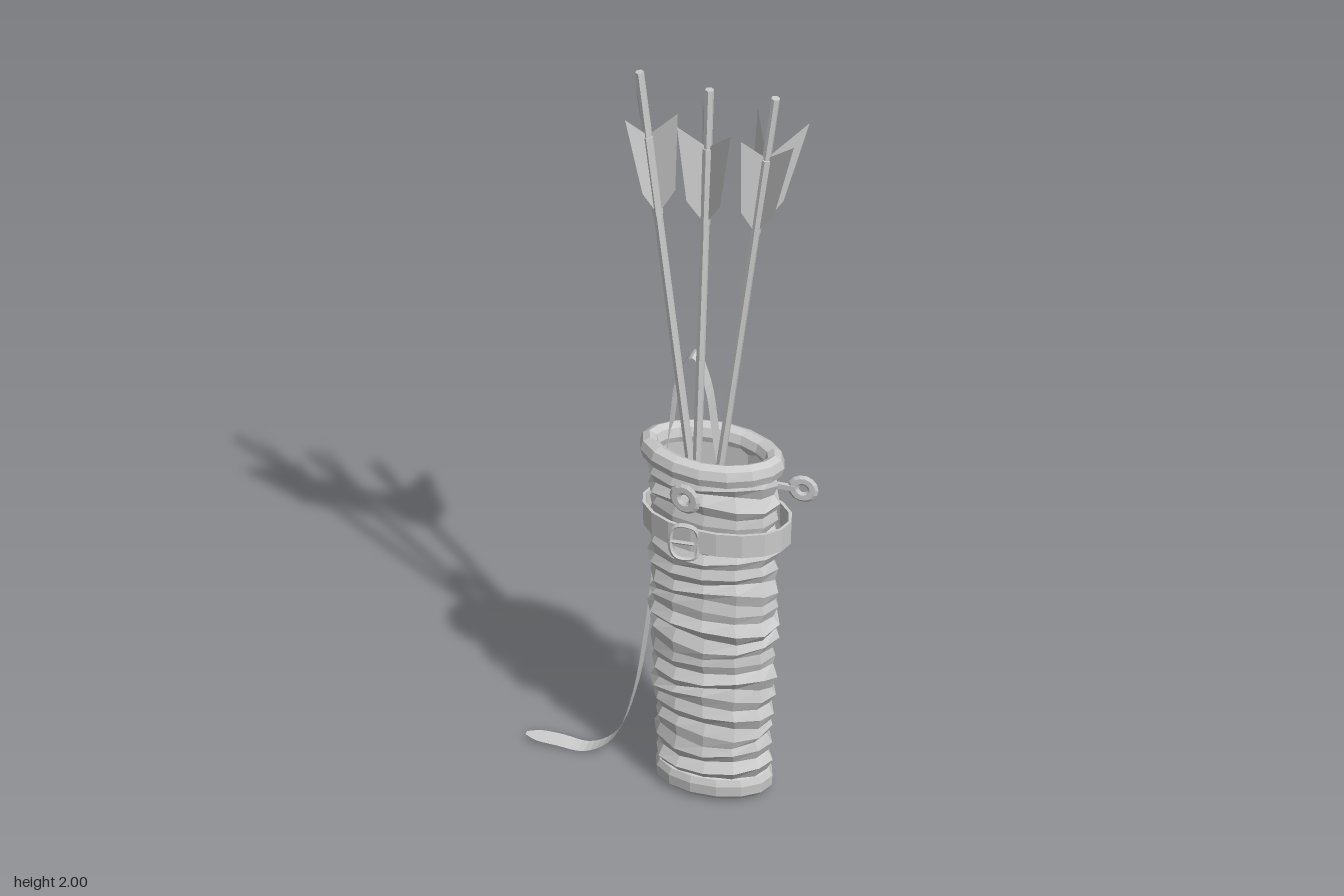
import * as THREE from 'three';

const mat = new THREE.MeshStandardMaterial({ color: 0xcccccc, flatShading: true, side: THREE.DoubleSide });
const V = (x, y, z) => new THREE.Vector3(x, y, z);

function add(parent, geo, name) {
  const m = new THREE.Mesh(geo, mat);
  m.name = name;
  parent.add(m);
  return m;
}

// Skin over elliptical rings; each row is [y, centreX, centreZ, radiusX, radiusZ]
function loft(rows, sides, warp = () => 0) {
  const pos = [], idx = [];
  rows.forEach(([y, cx, cz, a, b], i) => {
    for (let j = 0; j < sides; j++) {
      const t = (j / sides) * Math.PI * 2;
      pos.push(cx + a * Math.cos(t), y + warp(i, t), cz + b * Math.sin(t));
    }
  });
  for (let i = 0; i < rows.length - 1; i++) {
    for (let j = 0; j < sides; j++) {
      const a = i * sides + j, b = i * sides + ((j + 1) % sides);
      idx.push(a, a + sides, b, b, a + sides, b + sides);
    }
  }
  const g = new THREE.BufferGeometry();
  g.setAttribute('position', new THREE.Float32BufferAttribute(pos, 3));
  g.setIndex(idx);
  g.computeVertexNormals();
  return g;
}

// Closed band with a rounded section running around an ellipse
function band(y, cx, cz, a, b, thick, height, steps, sides, warp) {
  const rows = [];
  for (let k = 0; k <= steps; k++) {
    const t = (k / steps) * Math.PI * 2 - Math.PI;
    const r = Math.cos(t) * thick;
    rows.push([y + Math.sin(t) * height, cx, cz, a + r, b + r]);
  }
  return loft(rows, sides, warp);
}

// Ribbed leather tube with an inner wall and a floor
function makeBody() {
  const rows = [];
  const ribs = 17;
  for (let i = 0; i <= ribs * 2; i++) {
    const f = i / (ribs * 2);
    const bulge = i % 2 ? 0.005 + 0.003 * Math.sin(i * 2.3) : -0.006;
    const a = 0.137 + 0.021 * Math.min(1, f * 2.2) + bulge;
    const b = 0.082 + 0.005 * Math.min(1, f * 2) + bulge;
    rows.push([0.06 + f * 0.86, 0.115 + 0.003 * Math.sin(i * 1.3), -0.007 + 0.003 * Math.sin(i * 1.9), a, b]);
  }
  rows.push([0.93, 0.112, -0.008, 0.138, 0.07], [0.06, 0.115, -0.008, 0.118, 0.062], [0.06, 0.115, -0.008, 0, 0]);
  const warp = (i, t) => (i > 0 && i < ribs * 2 ? 0.009 * Math.sin(2 * t + i * 0.55) + 0.004 * Math.sin(3 * t + i * 1.7) : 0);
  return loft(rows, 12, warp);
}

// Flat ribbon along a path, its width lying along z
function ribbon(points, width, steps) {
  const curve = new THREE.CatmullRomCurve3(points);
  const g = new THREE.PlaneGeometry(1, 1, steps, 2);
  const p = g.attributes.position;
  for (let i = 0; i < p.count; i++) {
    const u = p.getX(i) + 0.5;
    const c = curve.getPoint(u);
    const taper = Math.sqrt(Math.min(1, (1 - u) * 25 + 0.08));
    p.setXYZ(i, c.x, c.y, c.z + p.getY(i) * width * taper * (1 + 0.1 * Math.sin(u * 22)));
  }
  g.computeVertexNormals();
  return g;
}

// Arrow: shaft, nock and vanes aimed at the given (x, z) tips
function makeArrow(top, low, tips) {
  const arrow = new THREE.Group();
  arrow.name = 'arrow';
  const at = y => low.clone().lerp(top, (y - low.y) / (top.y - low.y));
  const end = at(0.25);
  const shaft = add(arrow, new THREE.CylinderGeometry(0.011, 0.011, top.distanceTo(end), 6), 'shaft');
  shaft.position.copy(top).add(end).multiplyScalar(0.5);
  const dir = top.clone().sub(end).normalize();
  shaft.quaternion.setFromUnitVectors(V(0, 1, 0), dir);
  const wrap = add(arrow, new THREE.CylinderGeometry(0.015, 0.013, 0.22, 6), 'vaneWrap');
  wrap.position.copy(at(1.71));
  wrap.quaternion.copy(shaft.quaternion);
  for (const [x, z] of tips) {
    const c = at(1.9);
    const out = V(x - c.x, 0, z - c.z);
    // Outline as [share of vane width, height]
    const pts = [[0, 1.6], [0.62, 1.68], [1, 1.9], [0, 1.82]].map(([r, y]) => at(y).addScaledVector(out, r));
    const g = new THREE.BufferGeometry().setFromPoints(pts);
    g.setIndex([0, 1, 2, 0, 2, 3]);
    g.computeVertexNormals();
    add(arrow, g, 'vane');
  }
  return arrow;
}

export function createModel() {
  const g = new THREE.Group();
  g.name = 'quiver';

  add(g, makeBody(), 'body');

  // Rolled base with a closed underside
  add(g, loft([
    [0, 0.115, -0.01, 0, 0], [0.003, 0.115, -0.01, 0.128, 0.076], [0.018, 0.115, -0.01, 0.144, 0.09],
    [0.045, 0.115, -0.01, 0.146, 0.092], [0.062, 0.115, -0.01, 0.138, 0.086], [0.068, 0.115, -0.01, 0.12, 0.07],
  ], 14), 'base');

  // Rolled rim, slightly uneven
  add(g, band(0.943, 0.11, -0.01, 0.157, 0.086, 0.024, 0.032, 8, 16,
    (i, t) => -0.005 * Math.cos(t) + 0.003 * Math.sin(3 * t)), 'rim');

  // Belt standing off the body on the left side
  const belt = [[0.733, 0.176, 0.104], [0.733, 0.184, 0.112], [0.797, 0.186, 0.113], [0.797, 0.178, 0.105], [0.733, 0.176, 0.104]]
    .map(([y, a, b]) => [y, 0.125, -0.003, a, b]);
  add(g, loft(belt, 18, (i, t) => -0.004 * Math.cos(t)), 'belt');

  // Buckle frame and prong
  const frame = new THREE.CatmullRomCurve3([
    V(0.105, 0.8, 0.108), V(0.065, 0.808, 0.114), V(0.048, 0.79, 0.114), V(0.048, 0.73, 0.114),
    V(0.065, 0.714, 0.114), V(0.105, 0.72, 0.108), V(0.11, 0.76, 0.102),
  ], true);
  add(g, new THREE.TubeGeometry(frame, 28, 0.006, 5, true), 'buckleFrame');
  add(g, new THREE.TubeGeometry(new THREE.LineCurve3(V(0.046, 0.76, 0.116), V(0.105, 0.762, 0.115)), 1, 0.005, 5), 'buckleProng');

  // Eyelets: one on the front, one hanging off the left side on a tab
  const eyelet = () => new THREE.TorusGeometry(0.024, 0.014, 6, 14).scale(1, 1, 0.45);
  const front = add(g, eyelet(), 'frontEyelet');
  front.position.set(0.075, 0.875, 0.095);
  front.scale.setScalar(1.1);
  front.rotation.y = -0.2;
  const side = add(g, eyelet(), 'sideEyelet');
  side.position.set(0.332, 0.877, -0.028);
  side.rotation.y = 0.08;
  const tab = add(g, new THREE.BoxGeometry(0.06, 0.014, 0.01), 'eyeletTab');
  tab.position.set(0.284, 0.877, -0.024);

  // Loose strap looping out of the mouth and trailing on the floor
  add(g, ribbon([
    V(0.14, 0.75, -0.035), V(0.11, 0.98, -0.04), V(0.088, 1.12, -0.045), V(0.055, 1.198, -0.047), V(0.02, 1.15, -0.048),
    V(-0.002, 1.0, -0.05), V(-0.02, 0.8, -0.056), V(-0.045, 0.6, -0.056), V(-0.065, 0.4, -0.056), V(-0.1, 0.18, -0.055),
    V(-0.148, 0.05, -0.053), V(-0.215, 0.004, -0.052), V(-0.29, 0.008, -0.052), V(-0.368, 0.014, -0.048),
  ], 0.046, 60), 'strap');

  // Arrows fanning out of the mouth
  g.add(makeArrow(V(-0.078, 1.997, -0.028), V(0.048, 0.98, -0.008), [[-0.112, -0.102], [-0.092, 0.042], [0.02, -0.022]]));
  g.add(makeArrow(V(0.099, 1.985, -0.024), V(0.078, 0.98, 0.002), [[0.055, -0.106], [0.17, 0.032], [0.035, 0.032]]));
  g.add(makeArrow(V(0.266, 1.997, -0.02), V(0.14, 0.98, -0.005), [[0.195, -0.102], [0.2, 0.046], [0.328, 0.032], [0.332, -0.08]]));

  return g;
}
